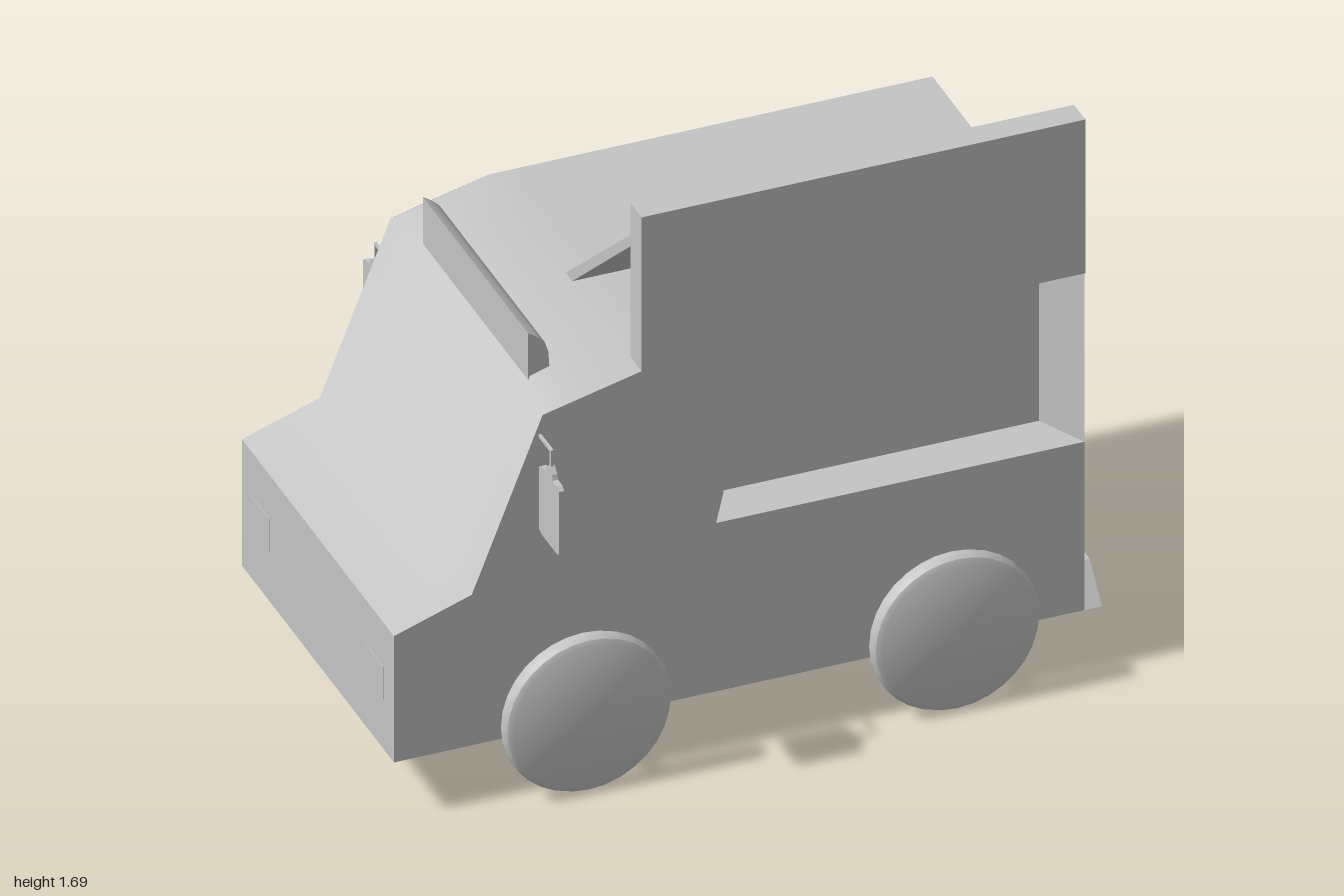
import * as THREE from 'three';
import { toCreasedNormals } from 'three/addons/utils/BufferGeometryUtils.js';

const W = 0.52; // half width of the body

export function createModel() {
  const model = new THREE.Group();
  model.name = 'foodTruck';
  const paint = new THREE.MeshStandardMaterial({ color: 0xc4c4c4, side: THREE.DoubleSide });
  paint.name = 'plainGrey';

  function add(name, geometry, x = 0, y = 0, z = 0, parent = model) {
    const mesh = new THREE.Mesh(geometry, paint);
    mesh.name = name;
    mesh.position.set(x, y, z);
    parent.add(mesh);
    return mesh;
  }
  // box given by its two extreme corners
  function box(name, x0, x1, y0, y1, z0, z1, parent) {
    return add(name, new THREE.BoxGeometry(x1 - x0, y1 - y0, z1 - z0),
      (x0 + x1) / 2, (y0 + y1) / 2, (z0 + z1) / 2, parent);
  }
  const shapeOf = (pts) => new THREE.Shape(pts.map(([x, y]) => new THREE.Vector2(x, y)));
  // outline extruded along z, centred on z = 0
  function prism(pts, depth) {
    const g = new THREE.ExtrudeGeometry(shapeOf(pts), { depth, bevelEnabled: false });
    return g.translate(0, 0, -depth / 2);
  }
  // outline in (z, y) extruded along x
  function prismX(pts, x0, x1) {
    const g = prism(pts.map(([z, y]) => [-z, y]), x1 - x0);
    return g.rotateY(Math.PI / 2).translate((x0 + x1) / 2, 0, 0);
  }

  // Body skin: side profile swept over the width; optional [dx, dy] crowns the middle
  const stations = [
    [-1, 0.175], [-1, 0.565], [-0.78, 0.64], [-0.58, 1.147, 0.03, 0.02],
    [-0.49, 1.168, 0, 0.018], [-0.3, 1.215], [-0.2, 1.215], [0.95, 1.215], [0.95, 0.175], [-1, 0.175],
  ];
  const sections = [-W, -0.36, 0.36, W];
  const pos = [], index = [];
  stations.forEach(([x, y, dx = 0, dy = 0], i) => {
    sections.forEach((z, j) => {
      const mid = j === 1 || j === 2 ? 1 : 0;
      pos.push(x + dx * mid, y + dy * mid, z);
      if (i < stations.length - 1 && j < 3) {
        const a = i * 4 + j;
        index.push(a, a + 1, a + 4, a + 1, a + 5, a + 4);
      }
    });
  });
  const skin = new THREE.BufferGeometry();
  skin.setAttribute('position', new THREE.Float32BufferAttribute(pos, 3));
  skin.setIndex(index);
  add('bodySkin', toCreasedNormals(skin, 1.0));

  // Side walls, the front one notched for the serving window
  const nose = [[-0.3, 1.215], [-0.58, 1.147], [-0.78, 0.64], [-1, 0.565]];
  add('plainSide', new THREE.ShapeGeometry(shapeOf(
    [[-1, 0.175], [0.95, 0.175], [0.95, 1.215], ...nose])).rotateY(0), 0, 0, -W);
  add('servingSide', new THREE.ShapeGeometry(shapeOf(
    [[-1, 0.175], [0.95, 0.175], [0.95, 0.695], [-0.09, 0.695], [-0.09, 1.215], ...nose])), 0, 0, W);

  // Serving window recess with splayed sides
  const zi = W - 0.14;
  const recess = new THREE.BufferGeometry();
  recess.setAttribute('position', new THREE.Float32BufferAttribute([
    -0.09, 0.695, W, 0.95, 0.695, W, 0.95, 1.215, W, -0.09, 1.215, W,
    -0.01, 0.695, zi, 0.88, 0.695, zi, 0.88, 1.14, zi, -0.01, 1.14, zi], 3));
  const faces = [4, 5, 6, 4, 6, 7];
  for (let i = 0; i < 4; i++) {
    const n = (i + 1) % 4;
    faces.push(i, n, n + 4, i, n + 4, i + 4);
  }
  recess.setIndex(faces);
  const flatRecess = recess.toNonIndexed();
  flatRecess.computeVertexNormals();
  add('servingWindow', flatRecess);

  // Roof sign with its sloping back brace
  box('signPanel', -0.3, 0.953, 1.215, 1.69, 0.442, W);
  add('signBrace', prismX([[0, 1.215], [0.045, 1.215], [0.442, 1.555], [0.442, 1.59]], -0.3, 0.95));

  // Visor over the windscreen
  add('visor', toCreasedNormals(prism(
    [[-0.555, 1.155], [-0.494, 1.175], [-0.498, 1.23], [-0.508, 1.262], [-0.53, 1.283], [-0.555, 1.3]], 0.72), 0.7));

  // Rear bumper and door handles
  add('rearBumper', prismX([[-W, 0.175], [W, 0.175], [0.435, 0.272], [-0.435, 0.272]], 0.95, 1));
  for (const s of [-1, 1]) {
    const z = 0.002 + s * 0.019;
    box('doorHandle', 0.945, 0.963, 0.65, 0.745, z - 0.018, z + 0.018);
    box('headlight', -1.002, -0.995, 0.33, 0.43, s * 0.39 - 0.06, s * 0.39 + 0.06);
  }

  // Wheels with short axle stubs
  const tyre = new THREE.LatheGeometry([
    [0, -0.029], [0.215, -0.029], [0.23, -0.021], [0.237, -0.008],
    [0.237, 0.008], [0.23, 0.021], [0.215, 0.029], [0, 0.029],
  ].map(([r, y]) => new THREE.Vector2(r, y)), 32).rotateX(Math.PI / 2);
  const tyreGeo = toCreasedNormals(tyre, 0.5);
  for (const x of [-0.48, 0.56]) {
    for (const s of [-1, 1]) {
      add('wheel', tyreGeo, x, 0.24, s * 0.574);
      const stub = new THREE.CylinderGeometry(0.024, 0.014, 0.05, 16);
      add('axleStub', stub, x, 0.24, s * 0.53).rotation.x = s * Math.PI / 2;
    }
  }

  // Hanging wing mirrors, the one on the plain side a little lower
  const r = 0.014, hw = 0.068;
  const plate = shapeOf([
    [-hw, 0.008], [-hw + r, 0], [hw - r, 0], [hw, 0.008], [hw, 0.2], [hw - r, 0.21],
    [0.025, 0.21], [0.02, 0.225], [0.005, 0.24], [-0.005, 0.24], [-0.02, 0.225], [-0.025, 0.21],
    [-hw + r, 0.21], [-hw, 0.2]]);
  const plateGeo = new THREE.ExtrudeGeometry(plate, { depth: 0.015, bevelEnabled: false })
    .translate(0, 0, -0.0075).rotateY(Math.PI / 2);
  for (const s of [-1, 1]) {
    const mirror = new THREE.Group();
    mirror.name = 'wingMirror';
    mirror.position.set(-0.588, s > 0 ? 0.8 : 0.735, s * 0.602);
    add('mirrorPlate', plateGeo, 0, 0, 0, mirror);
    box('mirrorRod', -0.004, 0.004, 0.23, 0.29, -0.004, 0.004, mirror);
    const arm = box('mirrorArm', -0.004, 0.004, 0.282, 0.29, -0.045, 0.045, mirror);
    arm.position.z = -s * 0.042;
    model.add(mirror);
  }

  return model;
}
